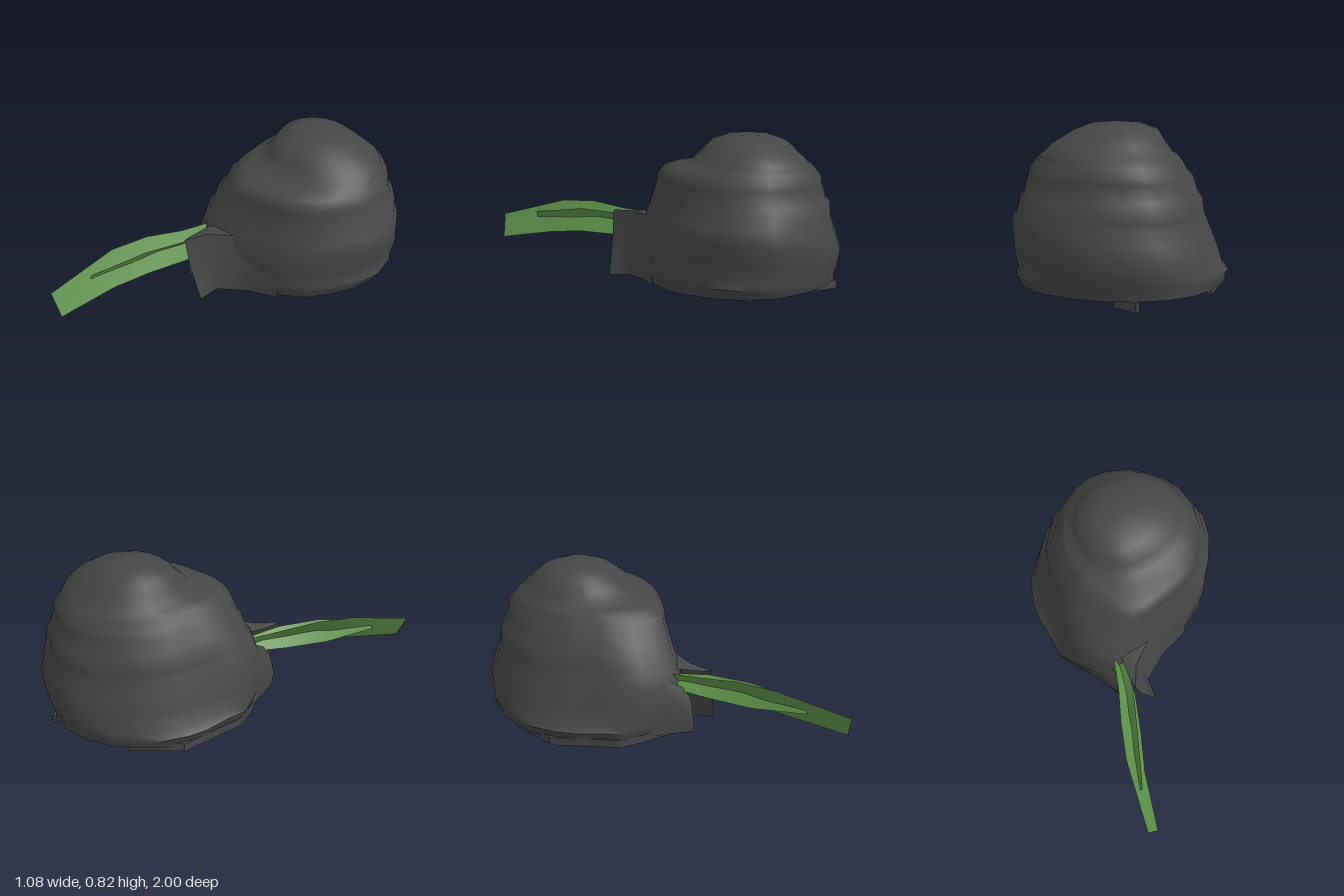
import * as THREE from 'three';
import { toCreasedNormals } from 'three/addons/utils/BufferGeometryUtils.js';

const charcoal = new THREE.MeshStandardMaterial({ color: 0x464646, side: THREE.DoubleSide });
charcoal.name = 'charcoal';
const leafGreen = new THREE.MeshStandardMaterial({ color: 0x5f934c, side: THREE.DoubleSide });
leafGreen.name = 'leaf green';

// Plan outline of the mound, from the back around +x to the front
const OUTLINE = [
  [0.02, -1], [0.2, -0.96], [0.33, -0.88], [0.43, -0.79], [0.5, -0.7], [0.54, -0.55],
  [0.52, -0.4], [0.45, -0.25], [0.38, -0.14], [0.24, -0.03], [0.08, 0.03], [-0.1, 0.1],
  [-0.22, 0.12], [-0.33, 0.06], [-0.42, -0.04], [-0.5, -0.14], [-0.51, -0.25], [-0.54, -0.4],
  [-0.54, -0.5], [-0.51, -0.65], [-0.45, -0.75], [-0.37, -0.86], [-0.25, -0.95], [-0.12, -1],
];

// Mound levels: y, min x, max x, back z, front z, roundness, bulge of the front -x corner
const LEVELS = [
  [0.045, -0.52, 0.49, -0.965, 0.1, 0, 0],
  [0.075, -0.525, 0.5, -0.965, 0.11, 0, 0],
  [0.1, -0.54, 0.52, -0.97, 0.11, 0, 0],
  [0.13, -0.51, 0.505, -0.98, 0.11, 0, 0.02],
  [0.22, -0.48, 0.525, -0.995, 0.11, 0, 0.04],
  [0.3, -0.45, 0.53, -0.97, 0.09, 0, 0.05],
  [0.375, -0.42, 0.535, -0.945, 0.06, 0, 0.06],
  [0.4, -0.41, 0.515, -0.94, 0.05, 0.05, 0.05],
  [0.465, -0.4, 0.5, -0.935, 0.03, 0.05, 0.04],
  [0.49, -0.38, 0.48, -0.915, 0.02, 0.1, 0.03],
  [0.57, -0.355, 0.46, -0.89, 0.0, 0.1, 0.01],
  [0.6, -0.325, 0.45, -0.89, -0.005, 0.15, 0],
  [0.64, -0.305, 0.42, -0.86, -0.04, 0.2, 0],
  [0.665, -0.28, 0.4, -0.84, -0.12, 0.3, 0],
  [0.68, -0.25, 0.39, -0.82, -0.2, 0.5, 0],
  [0.73, -0.215, 0.335, -0.77, -0.25, 0.6, 0],
  [0.79, -0.18, 0.23, -0.7, -0.31, 0.7, 0],
  [0.82, -0.1, 0.15, -0.61, -0.4, 0.8, 0],
];

// Fit the outline into one level, blending it towards an ellipse
function ring([y, x0, x1, z0, z1, round, bulge], level) {
  return OUTLINE.map(([px, pz]) => {
    let u = px / 0.54, v = (pz + 0.44) / 0.56;
    const len = Math.hypot(u, v);
    const push = bulge * Math.max(0, (0.8 * v - 0.6 * u) / len) ** 8;
    u = THREE.MathUtils.lerp(u, u / len, round);
    v = THREE.MathUtils.lerp(v, v / len, round);
    const x = (x0 + x1) / 2 + u * (x1 - x0) / 2 - push;
    const z = (z0 + z1) / 2 + v * (z1 - z0) / 2 + push * 0.4;
    // The underside dips slightly towards the front
    return [x, level === 0 ? y - 0.03 * (z + 0.45) : y, z];
  });
}

function makeGeometry(points, index, crease) {
  const g = new THREE.BufferGeometry();
  g.setAttribute('position', new THREE.Float32BufferAttribute(points.flat(), 3));
  g.setIndex(index);
  return toCreasedNormals(g, crease);
}

// Skin a list of equally long rows of points
function loft(rows, closed, crease) {
  const n = rows[0].length, index = [];
  for (let i = 0; i < rows.length - 1; i++) {
    for (let j = 0; j < (closed ? n : n - 1); j++) {
      const a = i * n + j, b = i * n + (j + 1) % n;
      index.push(a, a + n, b + n, a, b + n, b);
    }
  }
  const points = rows.flat();
  if (closed) {
    const last = (rows.length - 1) * n, bottom = points.length, top = bottom + 1;
    points.push([0, 0.045, -0.45], [0.03, 0.83, -0.51]);
    for (let j = 0; j < n; j++) {
      const k = (j + 1) % n;
      index.push(bottom, j, k, top, last + k, last + j);
    }
  }
  return makeGeometry(points, index, crease);
}

// Upright wall of even thickness along a path in plan
function wall(path, y0, y1, thickness) {
  const side = (s) => path.map((p, i) => {
    const a = path[Math.max(i - 1, 0)], b = path[Math.min(i + 1, path.length - 1)];
    const dx = b[0] - a[0], dz = b[1] - a[1], l = Math.hypot(dx, dz);
    return [p[0] - s * dz / l * thickness / 2, p[1] + s * dx / l * thickness / 2];
  });
  const loop = [...side(1), ...side(-1).reverse()];
  const shape = new THREE.Shape(loop.map(([x, z]) => new THREE.Vector2(x, -z)));
  const g = new THREE.ExtrudeGeometry(shape, { depth: y1 - y0, bevelEnabled: false });
  return g.rotateX(-Math.PI / 2).translate(0, y0, 0);
}

export function createModel() {
  const model = new THREE.Group();
  const add = (name, geometry, material) => {
    const mesh = new THREE.Mesh(geometry, material);
    mesh.name = name;
    model.add(mesh);
  };

  add('mound', loft(LEVELS.map(ring), true, 1.1), charcoal);

  // Low curling ridges under the mound and along its -x rim
  const ridges = [
    [[0.4, -0.55], [0.2, -0.61], [0.06, -0.8], [0.1, -0.88], [0.02, -0.975]],
    [[-0.15, -0.43], [-0.36, -0.39], [-0.52, -0.52], [-0.38, -0.75]],
    [[0.33, -0.44], [0.25, -0.2], [0.05, -0.12], [-0.09, -0.26]],
    [[0.05, 0.04], [-0.05, 0.07], [-0.26, -0.06]],
    [[-0.26, 0.13], [-0.32, 0.04], [-0.41, -0.06], [-0.48, -0.16], [-0.51, -0.4], [-0.525, -0.52]],
  ];
  ridges.forEach((path) => add('baseRidge', wall(path, 0.015, 0.06, 0.024), charcoal));

  // Flared opening at the front: a tall flap on +x, a shorter one on -x
  add('tallFlap', loft([
    [[-0.07, 0.005, 0.27], [-0.1, 0.07, 0.27], [-0.155, 0.2, 0.27], [-0.19, 0.355, 0.27]],
    [[-0.07, 0.01, 0.15], [-0.08, 0.07, 0.15], [-0.1, 0.2, 0.15], [-0.14, 0.36, 0.15]],
    [[0.07, 0.02, 0.04], [0.07, 0.09, 0.04], [0.05, 0.2, 0.045], [-0.02, 0.36, 0.035]],
    [[0.23, 0.03, -0.035], [0.23, 0.09, -0.035], [0.2, 0.2, -0.03], [0.12, 0.38, -0.05]],
  ], false, 1.1), charcoal);
  add('flapRoof', loft([
    [[-0.19, 0.355, 0.27], [-0.14, 0.36, 0.15], [-0.02, 0.36, 0.035]],
    [[-0.2, 0.35, 0.22], [-0.2, 0.35, 0.1], [-0.2, 0.37, 0]],
  ], false, 0.5), charcoal);
  add('shortFlap', loft([
    [[-0.25, 0.012, 0.19], [-0.27, 0.1, 0.19], [-0.25, 0.21, 0.17], [-0.25, 0.27, 0.13]],
    [[-0.33, 0.03, 0.07], [-0.335, 0.12, 0.07], [-0.32, 0.25, 0.07], [-0.29, 0.33, 0.05]],
    [[-0.42, 0.04, -0.06], [-0.41, 0.12, -0.06], [-0.38, 0.26, -0.06], [-0.34, 0.37, -0.06]],
  ], false, 0.9), charcoal);

  // Curved blade reaching forward
  add('leafBlade', loft([
    [[-0.24, 0.34, 0.07], [-0.27, 0.35, 0.22], [-0.33, 0.378, 0.42], [-0.375, 0.37, 0.62], [-0.4, 0.27, 1]],
    [[-0.19, 0.22, 0.08], [-0.19, 0.21, 0.26], [-0.24, 0.213, 0.48], [-0.295, 0.19, 0.68], [-0.34, 0.14, 0.99]],
  ], false, 0.6), leafGreen);

  // Narrow tapering fin crossing the blade
  add('leafFin', loft([
    [[-0.25, 0.26, 0.08], [-0.28, 0.24, 0.26], [-0.325, 0.23, 0.5], [-0.365, 0.25, 0.78]],
    [[-0.19, 0.32, 0.08], [-0.2, 0.335, 0.26], [-0.26, 0.343, 0.48], [-0.345, 0.3, 0.78]],
  ], false, 0.6), leafGreen);

  return model;
}
